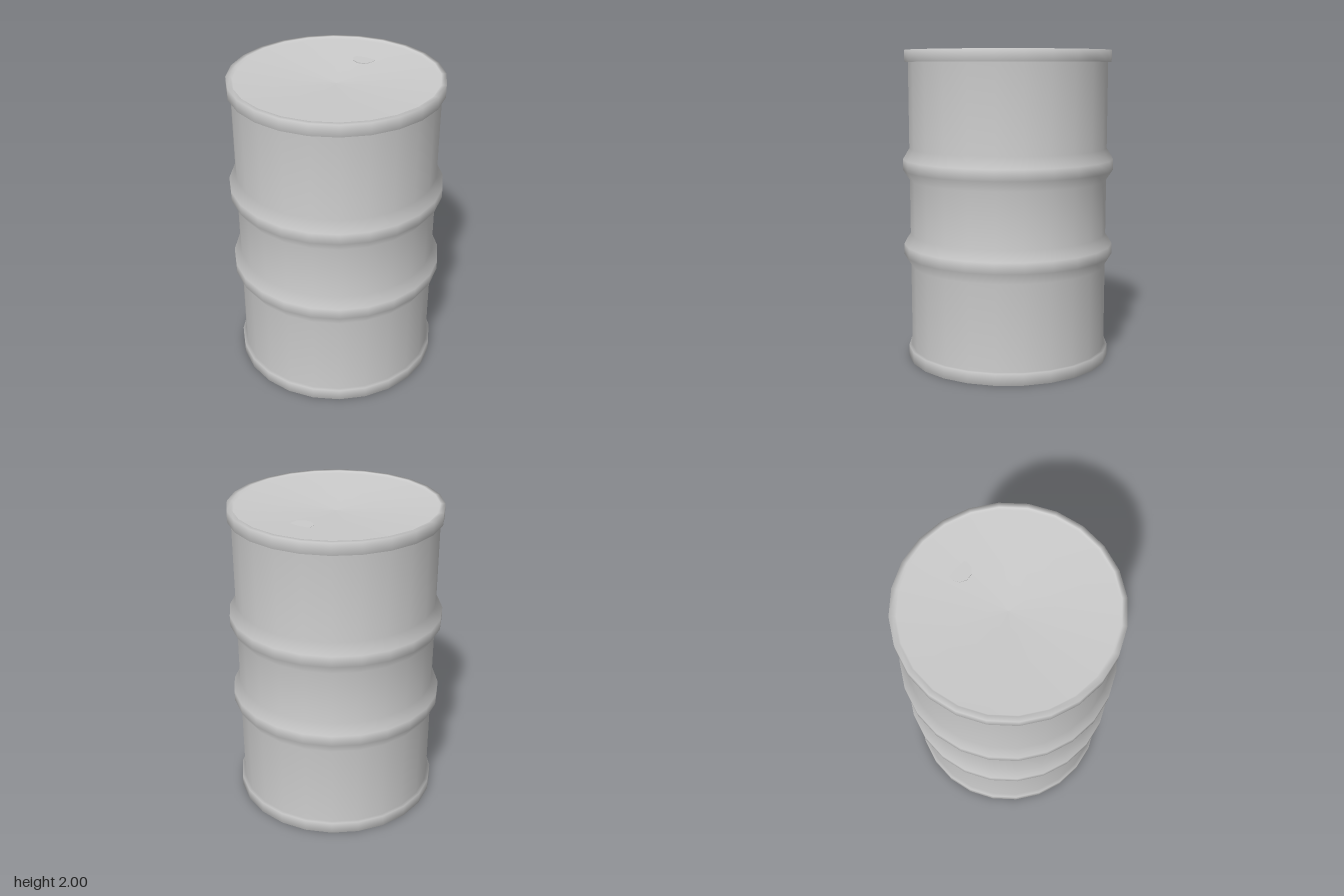
import * as THREE from 'three';

const SIDES = 24;

export function createModel() {
  const barrel = new THREE.Group();
  barrel.name = 'barrel';
  const material = new THREE.MeshStandardMaterial({ color: 0xcccccc });

  function add(name, geometry, x = 0, y = 0, z = 0) {
    const mesh = new THREE.Mesh(geometry, material);
    mesh.name = name;
    mesh.position.set(x, y, z);
    barrel.add(mesh);
    return mesh;
  }

  // Drum shell: lower half of the profile, mirrored to make the upper half
  const lower = [
    [0, 0.05], [0.62, 0.015], [0.63, 0],            // dished end
    [0.66, 0], [0.66, 0.075], [0.638, 0.075],       // rim
    [0.638, 0.62], [0.68, 0.69], [0.68, 0.76], [0.638, 0.825], // rolling hoop
  ];
  const upper = lower.map(([r, y]) => [r, 2 - y]).reverse();
  const profile = [...lower, ...upper].map(([r, y]) => new THREE.Vector2(r, y));
  add('drumShell', new THREE.LatheGeometry(profile, SIDES));

  // Bung: a flat plug half sunk into the sloping lid
  add('bung', new THREE.CylinderGeometry(0.07, 0.07, 0.03, 10), 0.315, 1.957, -0.178);

  return barrel;
}
